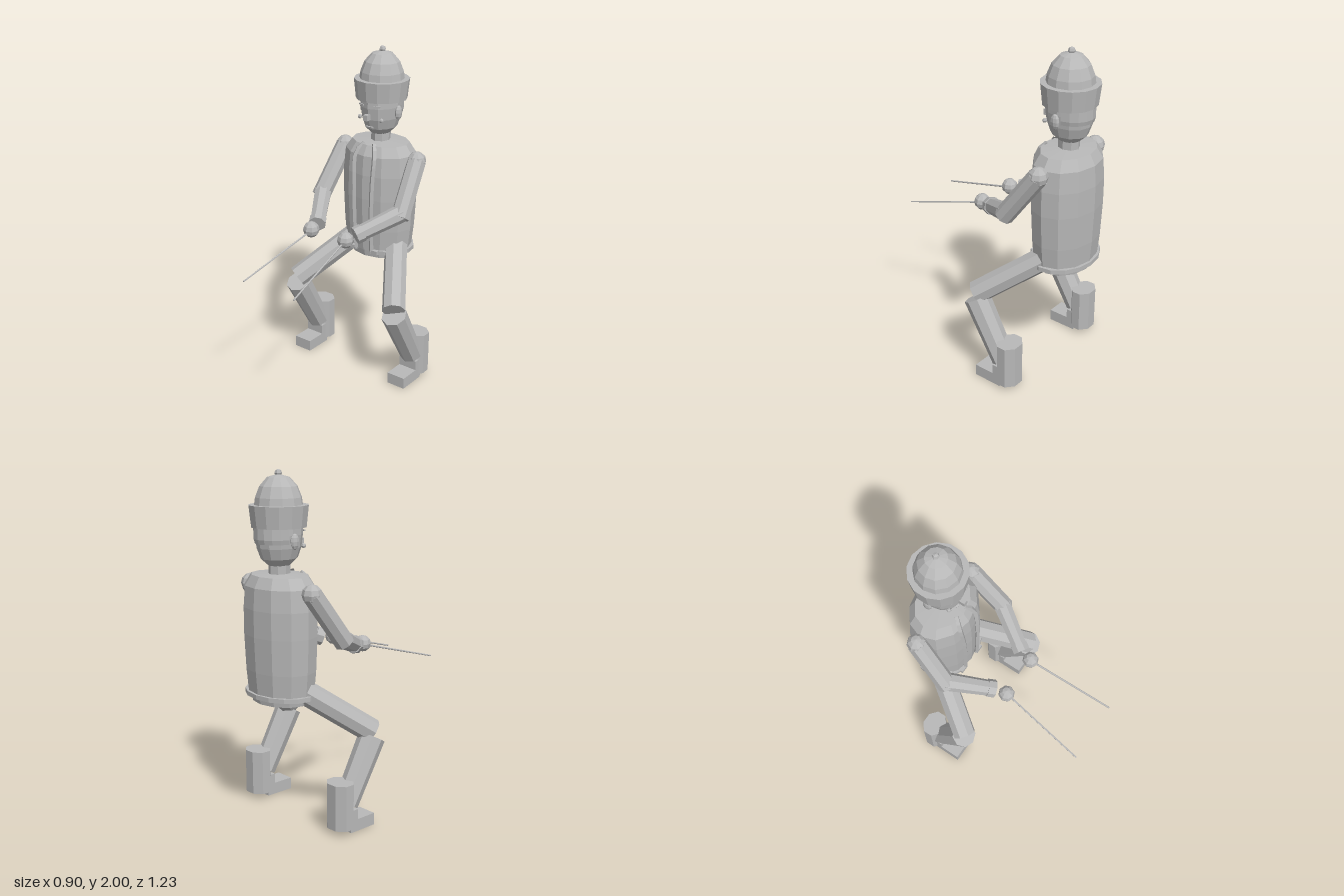
import * as THREE from 'three';

const grey = new THREE.MeshStandardMaterial({ color: 0xb8b8b8, flatShading: true, side: THREE.DoubleSide });
grey.name = 'plain grey';
const BODY_Z = -0.43;

export function createModel() {
  const root = new THREE.Group();
  root.name = 'crouchingSkier';

  const add = (name, geometry, x = 0, y = 0, z = 0, parent = root) => {
    const m = new THREE.Mesh(geometry, grey);
    m.name = name;
    m.position.set(x, y, z);
    parent.add(m);
    return m;
  };
  // turned shape around the body axis, squashed front to back by zScale
  const turned = (name, profile, sides, zScale = 1, start = 0, sweep = Math.PI * 2) => {
    const g = new THREE.LatheGeometry(profile.map(([r, y]) => new THREE.Vector2(r, y)), sides, start, sweep);
    return add(name, g.scale(1, 1, zScale), 0, 0, BODY_Z);
  };
  // straight tapered limb from a to b
  const limb = (name, a, b, ra, rb, sides, parent) => {
    const p = new THREE.Vector3(...a), q = new THREE.Vector3(...b);
    const d = q.clone().sub(p);
    const m = add(name, new THREE.CylinderGeometry(rb, ra, d.length(), sides), 0, 0, 0, parent);
    m.position.copy(p).add(q).multiplyScalar(0.5);
    m.quaternion.setFromUnitVectors(new THREE.Vector3(0, 1, 0), d.normalize());
    return m;
  };
  const ball = (name, r, x, y, z, parent, w = 8, h = 6) =>
    add(name, new THREE.SphereGeometry(r, w, h), x, y, z, parent);

  // jacket, hem and pelvis
  turned('jacket', [[0, 0.76], [0.215, 0.76], [0.23, 0.9], [0.24, 1.1], [0.24, 1.25],
    [0.228, 1.37], [0.185, 1.43], [0.05, 1.437]], 12, 0.77);
  turned('jacketHem', [[0.205, 0.75], [0.234, 0.75], [0.234, 0.775], [0.205, 0.775], [0.205, 0.75]],
    14, 0.77, 0.25, Math.PI * 2 - 0.5);
  turned('pelvis', [[0, 0.715], [0.185, 0.715], [0.195, 0.77]], 12, 0.8);

  // neck and head
  turned('neck', [[0.057, 1.4], [0.057, 1.54]], 8, 1.1);
  turned('head', [[0, 1.472], [0.055, 1.482], [0.092, 1.52], [0.111, 1.58], [0.119, 1.65], [0.118, 1.74]], 12, 1.17);
  turned('hair', [[0.08, 1.605], [0.12, 1.605], [0.126, 1.63], [0.126, 1.72]], 8, 1.17, Math.PI * 0.56, Math.PI * 0.88);
  add('nose', new THREE.BoxGeometry(0.028, 0.034, 0.04), 0, 1.6, -0.285);
  const mouth = add('mouth', new THREE.BoxGeometry(0.05, 0.007, 0.009), 0, 1.535, -0.313);
  mouth.rotation.x = 0.25;

  // hat
  turned('hatBand', [[0.11, 1.69], [0.153, 1.69], [0.166, 1.81], [0.13, 1.81]], 14);
  turned('hatCrown', [[0.135, 1.8], [0.128, 1.85], [0.104, 1.91], [0.062, 1.957], [0, 1.974]], 12);
  ball('hatKnob', 0.021, 0, 1.979, BODY_Z, root, 6, 4);

  for (const s of [1, -1]) {
    const side = s > 0 ? 'left' : 'right';

    // face details
    ball(side + 'Ear', 1, s * 0.127, 1.62, -0.425).scale.set(0.018, 0.044, 0.028);
    ball(side + 'Cheek', 0.014, s * 0.078, 1.585, -0.322, root, 6, 4);
    const brow = add(side + 'Eye', new THREE.BoxGeometry(0.04, 0.008, 0.009), s * 0.055, 1.667, -0.305);
    brow.rotation.y = s * 0.3;

    // raised edge of the jacket opening
    const edge = new THREE.CatmullRomCurve3([[0.035, 1.435, -0.31], [0.066, 1.385, -0.272], [0.066, 1.2, -0.252],
      [0.06, 0.95, -0.255], [0.058, 0.765, -0.268]].map(([x, y, z]) => new THREE.Vector3(s * x, y, z)));
    add(side + 'JacketEdge', new THREE.TubeGeometry(edge, 14, 0.015, 4, false));
    add(side + 'JacketCorner', new THREE.BoxGeometry(0.05, 0.024, 0.03), s * 0.08, 0.763, -0.272);

    // arm, hand and pole
    const arm = new THREE.Group();
    arm.name = side + 'Arm';
    root.add(arm);
    const shoulder = [s * 0.265, 1.35, -0.425], elbow = [s * 0.293, 1.085, -0.235], wrist = [s * 0.142, 0.985, 0.01];
    ball('shoulder', 0.057, ...shoulder, arm);
    limb('upperArm', shoulder, [s * 0.296, 1.06, -0.217], 0.057, 0.057, 8, arm);
    limb('forearm', elbow, wrist, 0.055, 0.046, 8, arm);
    limb('cuff', [s * 0.165, 1.0, -0.028], wrist, 0.053, 0.053, 8, arm);
    ball('hand', 0.049, s * 0.127, 0.98, 0.083, arm);
    limb('pole', [s * 0.127, 0.97, 0.1], [s * 0.184, 0.826, 0.613], 0.006, 0.005, 6, arm);

    // leg, boot and foot
    const leg = new THREE.Group();
    leg.name = side + 'Leg';
    root.add(leg);
    limb('thigh', [s * 0.13, 0.815, -0.43], [s * 0.37, 0.535, -0.07], 0.07, 0.07, 8, leg);
    limb('shin', [s * 0.37, 0.505, -0.075], [s * 0.37, 0.155, -0.275], 0.078, 0.07, 8, leg);
    const boot = add('boot', new THREE.CylinderGeometry(0.087, 0.087, 0.265, 8), s * 0.37, 0.163, -0.318, leg);
    boot.geometry.rotateY(Math.PI / 8).scale(1, 1, 0.84);
    add('ankle', new THREE.BoxGeometry(0.12, 0.07, 0.08), s * 0.37, 0.095, -0.278, leg);
    add('foot', new THREE.BoxGeometry(0.12, 0.07, 0.18), s * 0.37, 0.035, -0.2, leg);
  }
  return root;
}
